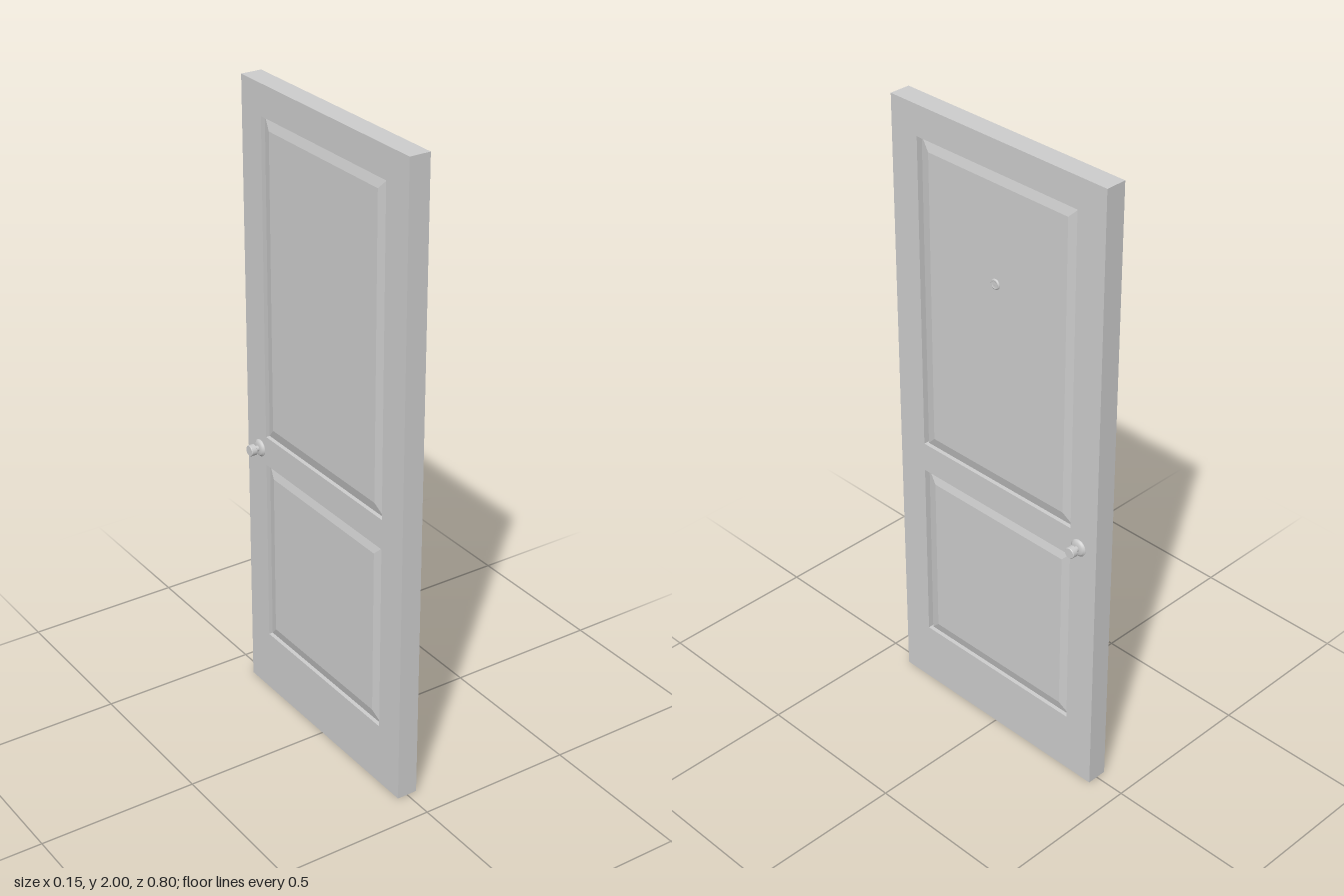
import * as THREE from 'three';

const HALF = 0.033; // half the door thickness
const material = new THREE.MeshStandardMaterial({ color: 0xcccccc });

function rect(Type, z0, z1, y0, y1) {
  const path = new Type();
  path.moveTo(z0, y0);
  path.lineTo(z1, y0);
  path.lineTo(z1, y1);
  path.lineTo(z0, y1);
  path.closePath();
  return path;
}

// Extrude a (z, y) shape along x, centred on the door's mid-plane
function slab(name, shape, thickness, bevel = {}) {
  const geometry = new THREE.ExtrudeGeometry(shape, { depth: thickness, bevelEnabled: false, ...bevel });
  geometry.translate(0, 0, -thickness / 2);
  geometry.rotateY(-Math.PI / 2);
  const mesh = new THREE.Mesh(geometry, material);
  mesh.name = name;
  return mesh;
}

// Turned part whose profile of [radius, height] pairs points along +x or -x
function turned(name, profile, side, x, y, z) {
  const geometry = new THREE.LatheGeometry(profile.map(([r, h]) => new THREE.Vector2(r, h)), 24);
  geometry.rotateZ(-side * Math.PI / 2);
  const mesh = new THREE.Mesh(geometry, material);
  mesh.name = name;
  mesh.position.set(side * x, y, z);
  return mesh;
}

export function createModel() {
  const door = new THREE.Group();
  door.name = 'door';

  // Stiles and rails around two openings
  const openings = [['lowerPanel', 0.2, 0.805], ['upperPanel', 0.9, 1.905]];
  const frame = rect(THREE.Shape, -0.4, 0.4, 0, 2);
  for (const [, y0, y1] of openings) frame.holes.push(rect(THREE.Path, -0.3, 0.3, y0, y1));
  door.add(slab('frame', frame, HALF * 2));

  // Raised panels with sloped borders, a narrow slot along one stile
  const slope = 0.035, rise = 0.01, edge = 0.04;
  for (const [name, y0, y1] of openings) {
    door.add(slab(name, rect(THREE.Shape, -0.3, 0.294, y0, y1), edge, {
      bevelEnabled: true, bevelSegments: 1, bevelThickness: rise, bevelSize: slope, bevelOffset: -slope,
    }));
    door.add(slab(name + 'Core', rect(THREE.Shape, 0.29, 0.3, y0, y1), 0.014));
  }

  // Knob with rose and stem on both faces
  const rose = [[0.027, 0], [0.027, 0.003], [0.023, 0.005], [0.021, 0.009], [0.01, 0.01]];
  const stem = [[0.009, 0.009], [0.009, 0.021]];
  const grip = [[0, 0.02], [0.014, 0.02], [0.014, 0.02], [0.0175, 0.022], [0.0175, 0.022],
    [0.0175, 0.038], [0.0175, 0.038], [0.016, 0.04], [0.016, 0.04], [0, 0.04]];
  for (const side of [1, -1]) {
    const knob = new THREE.Group();
    knob.name = side > 0 ? 'leftKnob' : 'rightKnob';
    for (const [name, profile] of [['rose', rose], ['stem', stem], ['grip', grip]]) {
      knob.add(turned(name, profile, side, HALF, 0.85, -0.333));
    }
    door.add(knob);
  }

  // Peephole on one face only: rim with a sunken lens
  const peephole = [[0.016, 0], [0.016, 0.003], [0.013, 0.005], [0.011, 0.005], [0.01, 0.003], [0, 0.004]];
  door.add(turned('peephole', peephole, 1, edge / 2 + rise, 1.565, 0));

  return door;
}
